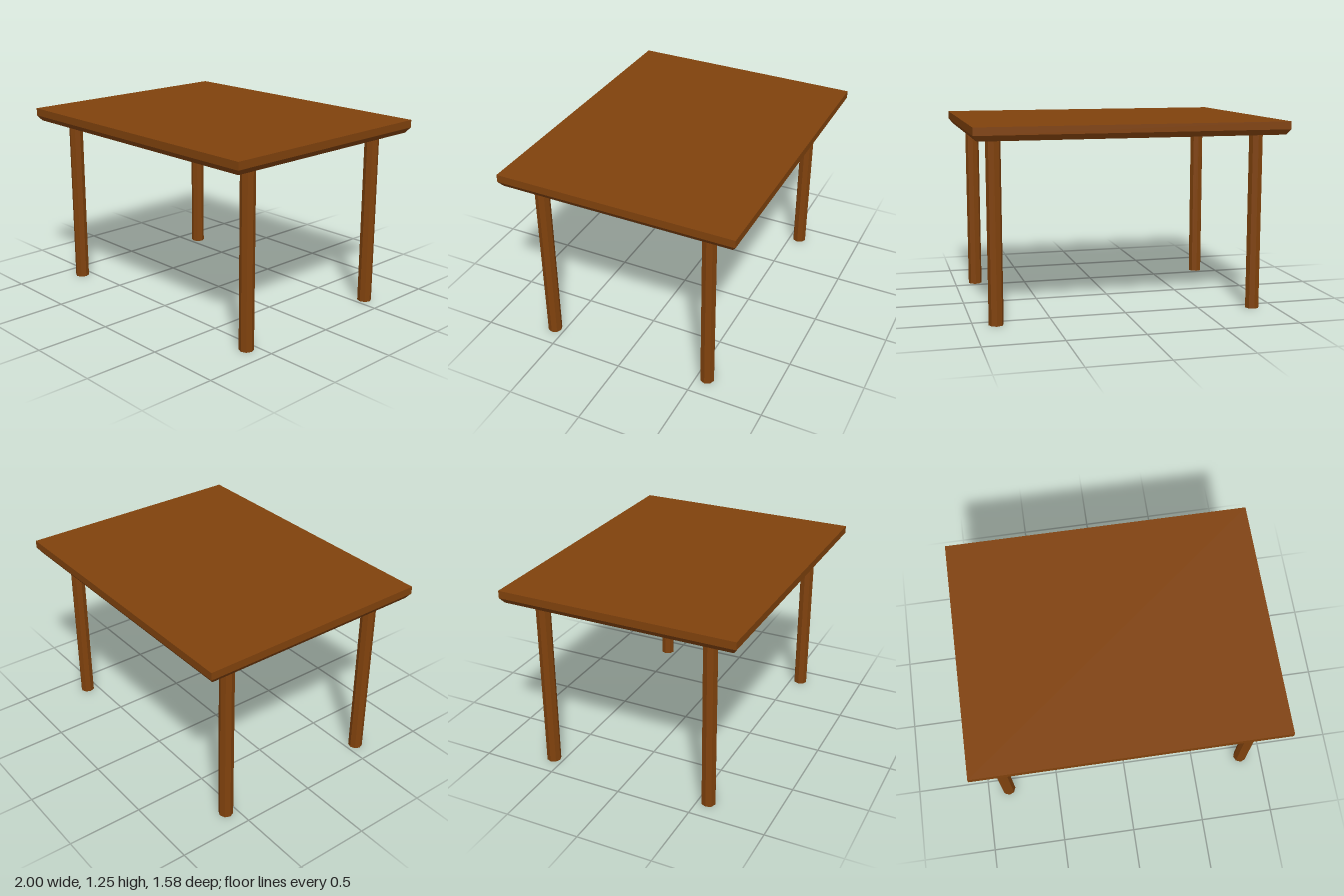
import * as THREE from 'three';

export function createModel() {
  const table = new THREE.Group();
  table.name = 'table';
  const wood = new THREE.MeshStandardMaterial({ color: 0x80420d, flatShading: true });
  wood.name = 'brown wood';

  const topY = 1.25, edgeY = 1.2, underY = 1.165, bevel = 0.025;

  // Tabletop: slab whose lower edge is chamfered inwards
  const slab = new THREE.BoxGeometry(2, 2, 1.58, 1, 2, 1);
  const p = slab.attributes.position;
  for (let i = 0; i < p.count; i++) {
    const level = Math.round(p.getY(i));
    p.setY(i, [underY, edgeY, topY][level + 1]);
    if (level < 0) {
      p.setX(i, p.getX(i) - Math.sign(p.getX(i)) * bevel);
      p.setZ(i, p.getZ(i) - Math.sign(p.getZ(i)) * bevel);
    }
  }
  slab.computeVertexNormals();
  const top = new THREE.Mesh(slab, wood);
  top.name = 'tabletop';
  table.add(top);

  // Four eight-sided legs
  const legGeometry = new THREE.CylinderGeometry(0.047, 0.047, underY, 8);
  for (const [z, end] of [[0.57, 'front'], [-0.57, 'back']]) {
    for (const [x, side] of [[0.855, 'Left'], [-0.855, 'Right']]) {
      const leg = new THREE.Mesh(legGeometry, wood);
      leg.name = `${end}${side}Leg`;
      leg.position.set(x, underY / 2, z);
      table.add(leg);
    }
  }
  return table;
}
